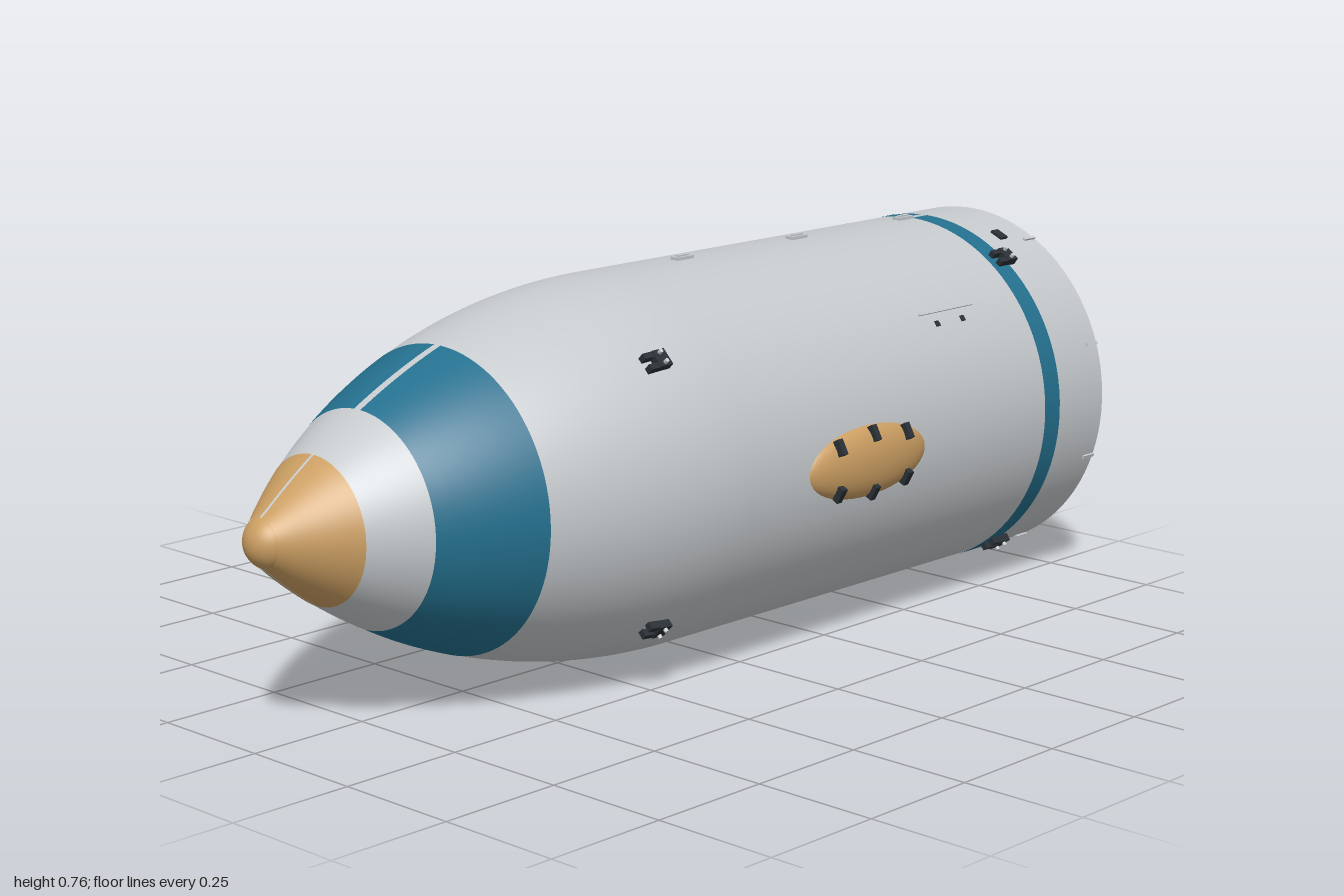
import * as THREE from 'three';

const R = 0.37, ARC = 1.328, SHOULDER = 0.1, DEG = Math.PI / 180;
const mat = (name, color, side = THREE.FrontSide) => {
  const m = new THREE.MeshStandardMaterial({ color, side });
  m.name = name;
  return m;
};

// Hull radius at z: cylinder, arc-shaped nose, rounded tip
function radius(z) {
  if (z <= SHOULDER) return R;
  if (z > 0.97) return 0.0567 * Math.sqrt(Math.max(0, 1 - ((z - 0.93) / 0.07) ** 2));
  return R - ARC + Math.sqrt(ARC * ARC - (z - SHOULDER) ** 2);
}

// Curved sheet following the hull between two z stations; angles run from the top toward +x
function sheet(z0, z1, phi0, phi1, lift, nz, np) {
  const pos = [], idx = [];
  for (let i = 0; i <= nz; i++) {
    const z = z0 + (z1 - z0) * i / nz, r = radius(z);
    const a = phi0(r), b = phi1(r);
    for (let j = 0; j <= np; j++) {
      const p = a + (b - a) * j / np;
      pos.push((r + lift) * Math.sin(p), (r + lift) * Math.cos(p), z);
      if (i < nz && j < np) {
        const k = i * (np + 1) + j, n = k + np + 1;
        idx.push(k, n, k + 1, n, n + 1, k + 1);
      }
    }
  }
  const g = new THREE.BufferGeometry();
  g.setAttribute('position', new THREE.Float32BufferAttribute(pos, 3));
  g.setIndex(idx);
  g.computeVertexNormals();
  return g;
}

// Revolve [radius, z] points about the z axis
const revolve = (pts, seg = 96) =>
  new THREE.LatheGeometry(pts.map(p => new THREE.Vector2(p[0], p[1])), seg).rotateX(Math.PI / 2);

export function createModel() {
  const grey = mat('hullGrey', 0xc6cacd);
  const teal = mat('tealPaint', 0x24708e);
  const tan = mat('tanPaint', 0xcb9e62);
  const dark = mat('darkFitting', 0x2a3036);
  const lining = mat('darkLining', 0x333b45, THREE.BackSide);

  const model = new THREE.Group();
  const body = new THREE.Group();
  body.name = 'fairing';
  body.position.y = 0.38;
  model.add(body);

  const add = (name, geo, m, parent = body) => {
    const mesh = new THREE.Mesh(geo, m);
    mesh.name = name;
    parent.add(mesh);
    return mesh;
  };
  const box = (name, m, parent, sx, sy, sz, x = 0, y = 0, z = 0) => {
    const b = add(name, new THREE.BoxGeometry(sx, sy, sz), m, parent);
    b.position.set(x, y, z);
    return b;
  };
  // Group standing on the hull: local y points outward
  const mount = (name, phi, z, r = radius(z)) => {
    const g = new THREE.Group();
    g.name = name;
    g.position.set(r * Math.sin(phi), r * Math.cos(phi), z);
    g.rotation.z = -phi;
    body.add(g);
    return g;
  };

  // Outer hull
  const outline = [[R, -1], [R, -0.5]];
  for (let i = 0; i <= 36; i++) {
    const z = SHOULDER + (0.97 - SHOULDER) * i / 36;
    outline.push([radius(z), z]);
  }
  add('hull', revolve(outline), grey);

  // Rounded tip
  const tip = [];
  for (let i = 0; i <= 10; i++) {
    const z = 0.93 + 0.07 * Math.sin(0.608 + (Math.PI / 2 - 0.608) * i / 10);
    tip.push([i === 10 ? 0 : radius(z) + 0.001, z]);
  }
  add('noseTip', revolve(tip), tan);

  // Painted bands, split along the top and bottom seam
  const band = (name, m, z0, z1, gap, nz) => {
    for (const start of [0, Math.PI])
      add(name, sheet(z0, z1, r => start + Math.asin(gap / r),
        r => start + Math.PI - Math.asin(gap / r), 0.0012, nz, 48), m);
  };
  band('noseBand', tan, 0.85, 0.972, 0.003, 8);
  band('frontBand', teal, 0.55, 0.745, 0.0085, 12);
  band('rearBand', teal, -0.85, -0.8, 0.0085, 1);

  // Inner lining
  const inner = [[0.358, -0.95], [0.358, 0.1]];
  for (let i = 1; i <= 16; i++) {
    const z = 0.1 + 0.84 * i / 16;
    inner.push([radius(z) - 0.012, z]);
  }
  inner.push([0, 0.96]);
  add('innerLining', revolve(inner), lining);

  // Rear rim with stepped flange, built from flat-shaded steps
  const steps = [[R, -1], [0.357, -1], [0.357, -0.965], [0.338, -0.965], [0.338, -0.945], [0.359, -0.945]];
  for (let i = 0; i < steps.length - 1; i++)
    add('rearFlange', revolve([steps[i + 1], steps[i]]), grey);

  // Inner ring frames, stringers and seam beams
  for (const z of [-0.72, -0.48, -0.24, 0, 0.24]) {
    const r = radius(z);
    const ring = revolve([[r - 0.02, z + 0.004], [r - 0.02, z - 0.004], [r - 0.01, z - 0.004],
      [r - 0.01, z + 0.004], [r - 0.02, z + 0.004]]);
    add('ringFrame', ring, grey);
  }
  for (let i = 0; i < 12; i++) {
    const phi = (15 + 30 * i) * DEG;
    box('stringer', grey, mount('stringerMount', phi, -0.36, 0.353), 0.007, 0.012, 1.18);
  }
  for (const phi of [0, Math.PI])
    box('seamBeam', grey, mount('seamBeamMount', phi, -0.36, 0.348), 0.05, 0.022, 1.18);

  // Blocks along the seam
  for (const phi of [0, Math.PI])
    for (const z of [-0.1, -0.44, -0.78]) {
      const g = mount('seamLatch', phi, z);
      box('latchPlate', grey, g, 0.02, 0.012, 0.045);
      box('latchBar', grey, g, 0.008, 0.004, 0.03, 0, 0.007);
    }

  // Dark brackets with bolts, four at the shoulder and four at the rear
  const bracket = (phi, z) => {
    const g = mount('bracket', phi, z);
    g.rotation.order = 'ZXY';
    g.rotation.x = Math.atan2(R - radius(z + 0.1), 0.18) * 0.5;
    box('bracketBase', dark, g, 0.036, 0.024, 0.03, 0, 0.004, -0.01);
    for (const s of [-1, 1]) {
      box('bracketLug', dark, g, 0.012, 0.022, 0.026, s * 0.012, 0.003, 0.014);
      const bolt = add('bolt', new THREE.CylinderGeometry(0.0045, 0.0045, 0.008, 8), grey, g);
      bolt.position.set(s * 0.011, 0.019, -0.01);
    }
  };
  for (const side of [-1, 1])
    for (const flip of [false, true]) {
      const at = a => side * (flip ? 180 - a : a) * DEG;
      bracket(at(46), 0.25);
      bracket(at(35.5), -0.843);
      box('rearPad', dark, mount('rearPadMount', at(24.5), -0.912), 0.03, 0.01, 0.022);
      // Rear rim clips, outside strip and inside block
      for (const a of [29, 71]) {
        const g = mount('rimClip', at(a), -0.982);
        box('clipStrip', grey, g, 0.007, 0.008, 0.035);
        box('clipBlock', grey, g, 0.028, 0.014, 0.022, 0, -0.017, 0.002);
      }
    }

  // Side pods with hold-down clips
  for (const side of [-1, 1]) {
    const pod = new THREE.Group();
    pod.name = 'sidePod';
    pod.position.set(side * 0.36, 0, -0.235);
    body.add(pod);
    const shell = add('podShell', new THREE.SphereGeometry(1, 48, 24), tan, pod);
    shell.scale.set(0.036, 0.071, 0.18);
    for (const dz of [-0.1, 0, 0.1])
      for (const s of [-1, 1]) {
        const h = 0.071 * Math.sqrt(1 - (dz / 0.18) ** 2);
        const clip = box('podClip', dark, pod, 0.014, 0.032, 0.014, side * 0.024, s * (h - 0.013), dz);
        clip.rotation.z = side * s * 0.5;
      }
  }

  // Dark vent panel on the right flank, with slats
  add('ventPanel', sheet(-0.43, -0.33, () => -68.8 * DEG, () => -51.6 * DEG, 0.0015, 1, 10), dark);
  for (let i = 0; i < 6; i++)
    box('ventSlat', dark, mount('slatMount', (-66 + i * 2.4) * DEG, -0.38), 0.004, 0.006, 0.096);

  // Small ports and a thin rail on the left flank
  for (const z of [-0.53, -0.61])
    box('port', dark, mount('portMount', 53.5 * DEG, z), 0.012, 0.004, 0.012);
  box('rail', grey, mount('railMount', 49.5 * DEG, -0.575), 0.004, 0.006, 0.17);

  return model;
}
